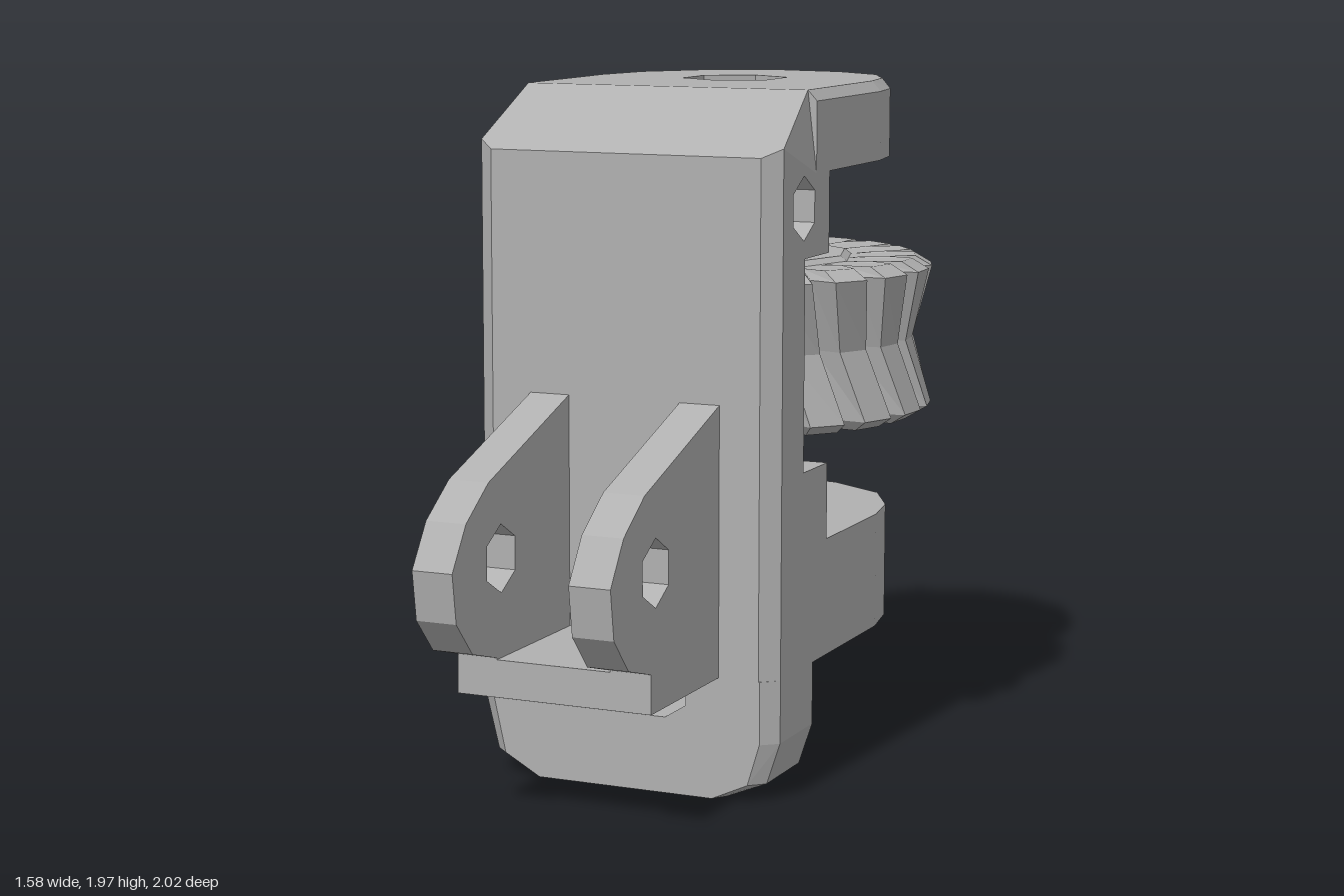
import * as THREE from 'three';

const metal = new THREE.MeshStandardMaterial({ color: 0xb0b0b0 });
metal.name = 'plain grey';

const HALF = 0.46; // half width of the bracket

// corner points of a regular polygon
function ngon(cx, cy, r, n, start) {
  return Array.from({ length: n }, (_, i) => {
    const a = start + (i * 2 * Math.PI) / n;
    return [cx + r * Math.cos(a), cy + r * Math.sin(a)];
  });
}

function extrude(points, depth, hole) {
  const vec = (list) => list.map(([x, y]) => new THREE.Vector2(x, y));
  const shape = new THREE.Shape(vec(points));
  if (hole) shape.holes.push(new THREE.Path(vec(hole)));
  return new THREE.ExtrudeGeometry(shape, { depth, bevelEnabled: false });
}
// plan (x, z) raised from y0 to y1
const alongY = (pts, y0, y1, hole) => extrude(pts, y1 - y0, hole).rotateX(Math.PI / 2).translate(0, y1, 0);
// side profile (z, y) spanning x0 to x1
const alongX = (pts, x0, x1, hole) => extrude(pts, x1 - x0, hole).rotateY(-Math.PI / 2).translate(x1, 0, 0);
// front profile (x, y) spanning z0 to z1
const alongZ = (pts, z0, z1) => extrude(pts, z1 - z0).translate(0, 0, z0);

// move vertices by a rule and refresh the flat normals
function reshape(geo, rule) {
  const p = geo.attributes.position;
  const v = new THREE.Vector3();
  for (let i = 0; i < p.count; i++) {
    rule(v.fromBufferAttribute(p, i));
    p.setXYZ(i, v.x, v.y, v.z);
  }
  geo.computeVertexNormals();
  return geo;
}

// toothed wheel: closed sweep of rings from the bore, over the rim and back
function gearGeometry() {
  const teeth = 20, count = teeth * 3, phase = [0, 0.2, 0.8];
  const rings = [
    // radius, height, kind
    [0.155, 1.455, 'hex'], [0.34, 1.455, 'boss'], [0.36, 1.44, 'boss'],
    [0.54, 1.45, 'tooth'], [0.59, 1.42, 'tooth'], [0.535, 1.21, 'tooth'],
    [0.59, 1.01, 'tooth'], [0.54, 0.98, 'tooth'],
    [0.36, 0.99, 'boss'], [0.34, 0.975, 'boss'], [0.155, 0.975, 'hex'],
  ];
  const polyRadius = (r, a, n, start) => {
    const step = (2 * Math.PI) / n;
    const m = (((a - start) % step) + step) % step;
    return (r * Math.cos(step / 2)) / Math.cos(m - step / 2);
  };
  const point = ([r, y, kind], k) => {
    let a = ((Math.floor(k / 3) + phase[k % 3]) * 2 * Math.PI) / teeth;
    if (kind === 'tooth') {
      if (k % 3 === 0) r -= 0.085;
      a += (y - 1.21) * 0.45;
    } else {
      r = kind === 'hex' ? polyRadius(r, a, 6, Math.PI / 6) : polyRadius(r, a, 10, 0);
    }
    return [r * Math.cos(a), y, r * Math.sin(a)];
  };
  const pos = [];
  for (let i = 0; i < rings.length; i++) {
    const top = rings[i], low = rings[(i + 1) % rings.length];
    for (let k = 0; k < count; k++) {
      const n = (k + 1) % count;
      const a = point(top, k), b = point(top, n), c = point(low, k), d = point(low, n);
      pos.push(...a, ...b, ...c, ...b, ...d, ...c);
    }
  }
  const geo = new THREE.BufferGeometry();
  geo.setAttribute('position', new THREE.Float32BufferAttribute(pos, 3));
  geo.computeVertexNormals();
  return geo;
}

export function createModel() {
  const model = new THREE.Group();
  model.name = 'gearBracket';
  const body = new THREE.Group();
  body.name = 'bracketAssembly';
  body.position.set(-0.2, 0, -0.42);
  body.rotation.y = Math.PI / 6;
  model.add(body);

  const add = (name, geo) => {
    const mesh = new THREE.Mesh(geo, metal);
    mesh.name = name;
    body.add(mesh);
  };

  // rounded arms above and below the gear, bored for the axle
  const armPlan = [
    [HALF, 0.5], [HALF, 0], [0.43, -0.16], [0.34, -0.33], [0.16, -0.44],
    [-0.04, -0.47], [-0.27, -0.39], [-0.42, -0.2], [-HALF, 0], [-HALF, 0.5],
  ];
  const bore = ngon(0, 0, 0.155, 6, Math.PI / 6);
  add('lowerArm', alongY(armPlan, 0.35, 0.69, bore));
  add('upperArm', alongY(armPlan, 1.74, 1.94, bore));
  add('upperArmCap', reshape(alongY(armPlan, 1.94, 1.97, bore), (v) => {
    if (v.y > 1.96 && Math.abs(v.x) > 0.2) v.x *= 0.94;
  }));

  // upright wall with shoulders, a sloped top and a cross hole
  const wallProfile = [
    [0.74, 0.35], [0.74, 1.824], [0.5, 1.97], [0.5, 1.74], [0.4, 1.74], [0.4, 1.51],
    [0.58, 1.51], [0.58, 0.91], [0.4, 0.91], [0.4, 0.35],
  ];
  const crossHole = ngon(0.59, 1.65, 0.09, 6, Math.PI / 2);
  add('wall', reshape(alongX(wallProfile, -HALF, HALF, crossHole), (v) => {
    if (v.y > 1.96) v.x *= 0.94;
  }));

  // front face with chamfered upright edges
  const facePlan = [[-HALF, 0.74], [-0.41, 0.78], [0.41, 0.78], [HALF, 0.74]];
  add('wallFace', reshape(alongY(facePlan, 0.35, 1.9), (v) => {
    v.y = Math.min(v.y, 1.97 - 0.607 * (v.z - 0.5));
  }));

  // hook under the wall, open on one side
  const hookProfile = [
    [HALF, 0.35], [HALF, 0.17], [0.42, 0.05], [0.3, 0], [-0.3, 0], [-0.42, 0.06],
    [-HALF, 0.22], [0.14, 0.22], [0.21, 0.26], [0.21, 0.31], [0.15, 0.35],
  ];
  add('hook', alongZ(hookProfile, 0.5, 0.74));
  add('hookFace', reshape(alongZ(hookProfile, 0.74, 0.78), (v) => {
    if (v.z > 0.77) v.x *= 0.9;
  }));

  // pair of pierced lugs on a base plate
  const lugProfile = [
    [0.76, 1.125], [1.27, 0.95], [1.4, 0.86], [1.48, 0.74], [1.46, 0.6],
    [1.37, 0.5], [1.23, 0.46], [1.23, 0.35], [0.76, 0.35],
  ];
  const pinHole = ngon(1.2, 0.73, 0.095, 6, Math.PI / 2);
  add('leftLug', alongX(lugProfile, 0.17, 0.29, pinHole));
  add('rightLug', alongX(lugProfile, -0.29, -0.17, pinHole));
  add('lugBase', alongX([[0.76, 0.35], [1.23, 0.35], [1.23, 0.455], [0.76, 0.455]], -0.2, 0.2));

  add('gear', gearGeometry());
  return model;
}
